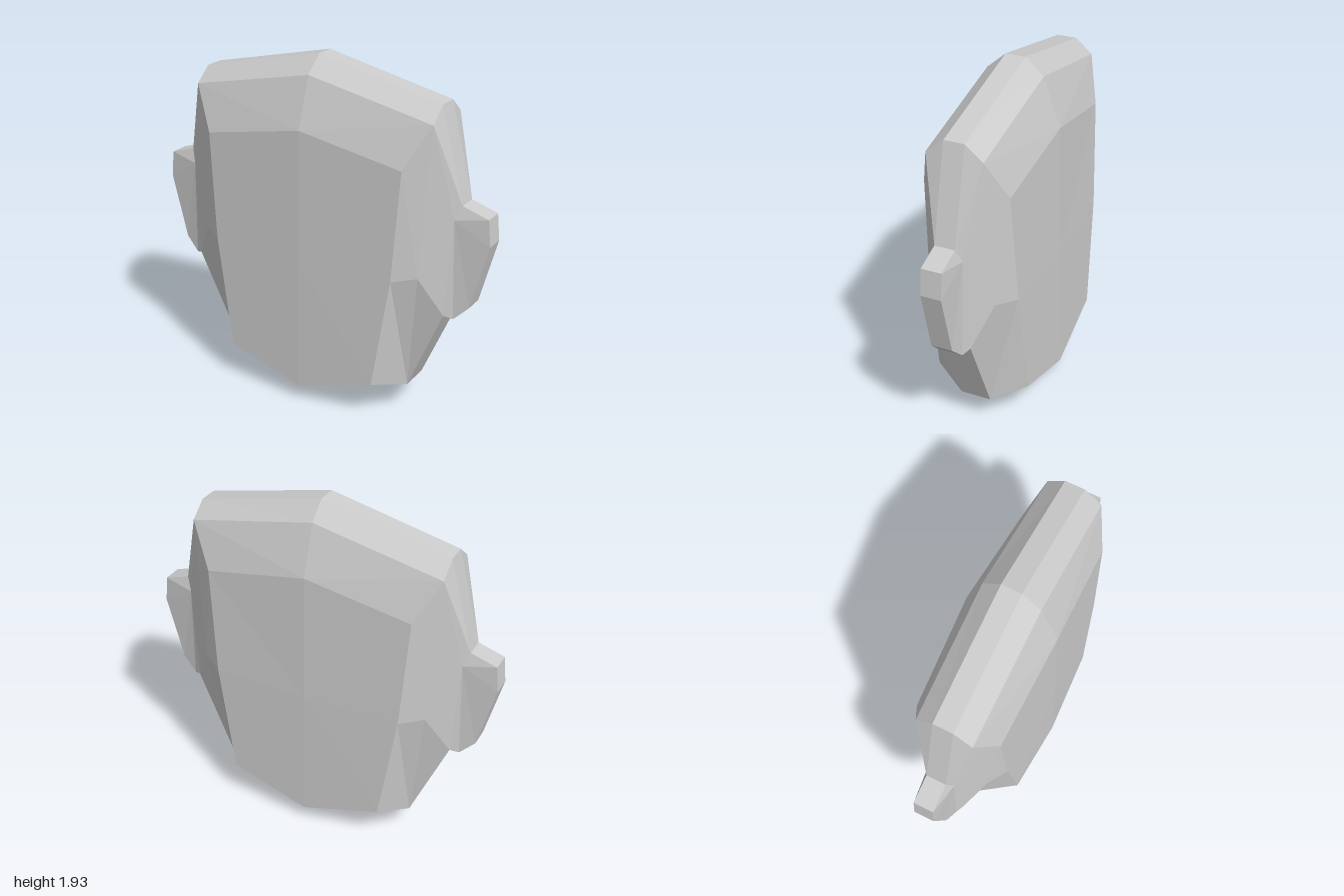
import * as THREE from 'three';

// Half-outline control points: [x, y, front z, back z]
const P = {
  // centre and crown of the broad faces
  c: [0, 0.85, 0.27, -0.268], t: [0, 1.57, 0.255, -0.25], ts: [0.585, 1.455, 0.235, -0.23],
  mid: [0.545, 0.85, 0.25, -0.255], j: [0.45, 0.225, 0.265, -0.27], b: [0, 0.09, 0.28, -0.28],
  // bevel around the faces
  T: [0, 1.84, 0.158, -0.155], TS: [0.71, 1.69, 0.152, -0.15], E: [0.81, 1.19, 0.082, -0.08],
  S: [0.665, 0.87, 0.18, -0.18],
  // rim
  R1: [0, 1.93, 0.055, -0.055], R2: [0.71, 1.77, 0.055, -0.055], R3: [0.84, 1.265, 0.055, -0.055],
  G: [0.78, 0.655, 0.1, -0.095], J: [0.57, 0.17, 0.07, -0.1], B: [0, 0.003, 0.07, -0.1],
  // ear edge
  e1: [0.985, 1.22, 0.055, -0.055], e2: [1, 1.075, 0.055, -0.055],
  e3: [0.905, 0.715, 0.06, -0.055], e4: [0.825, 0.637, 0.075, -0.07],
};

const HEAD_FACES = [
  'c mid ts t', 'c b j mid', 't ts TS T', 'ts mid S TS', 'S E TS', 'S G E', 'S J G',
  'mid j J S', 'j b B J', 'T TS R2 R1', 'TS E R3 R2',
];
const EAR_FACES = ['E G e4 e3 e2 e1', 'E e1 R3'];

// Triangulates the faces on front and back, plus bands joining front to back
function buildShell(faces, bands, sides) {
  const pos = [];
  const addPolygon = (pts, flip) => {
    const q = flip ? [...pts].reverse() : pts;
    // keep the same fan corner on mirrored faces
    if (flip) q.unshift(q.pop());
    for (let i = 1; i < q.length - 1; i++) pos.push(...q[0], ...q[i], ...q[i + 1]);
  };
  for (const side of sides) {
    const point = (name, back) => {
      const p = P[name];
      return [p[0] * side, p[1], p[back ? 3 : 2]];
    };
    for (const face of faces) {
      const names = face.split(' ');
      for (const back of [false, true]) {
        addPolygon(names.map((n) => point(n, back)), (side < 0) !== back);
      }
    }
    for (const band of bands) {
      const names = band.split(' ');
      for (let i = 0; i < names.length - 1; i++) {
        const [a, b] = [names[i], names[i + 1]];
        addPolygon([point(a, false), point(b, false), point(b, true), point(a, true)], side < 0);
      }
    }
  }
  const geometry = new THREE.BufferGeometry();
  geometry.setAttribute('position', new THREE.Float32BufferAttribute(pos, 3));
  geometry.computeVertexNormals();
  return geometry;
}

export function createModel() {
  const group = new THREE.Group();
  group.name = 'maskHead';
  const material = new THREE.MeshStandardMaterial({ color: 0xcccccc, flatShading: true });
  const add = (name, geometry) => {
    const mesh = new THREE.Mesh(geometry, material);
    mesh.name = name;
    group.add(mesh);
  };

  // Faceted head with top rim and chin rim
  add('head', buildShell(HEAD_FACES, ['R1 R2 R3', 'G J B'], [1, -1]));

  // Ears, mirrored
  add('leftEar', buildShell(EAR_FACES, ['R3 e1 e2 e3 e4 G'], [1]));
  add('rightEar', buildShell(EAR_FACES, ['R3 e1 e2 e3 e4 G'], [-1]));

  return group;
}
